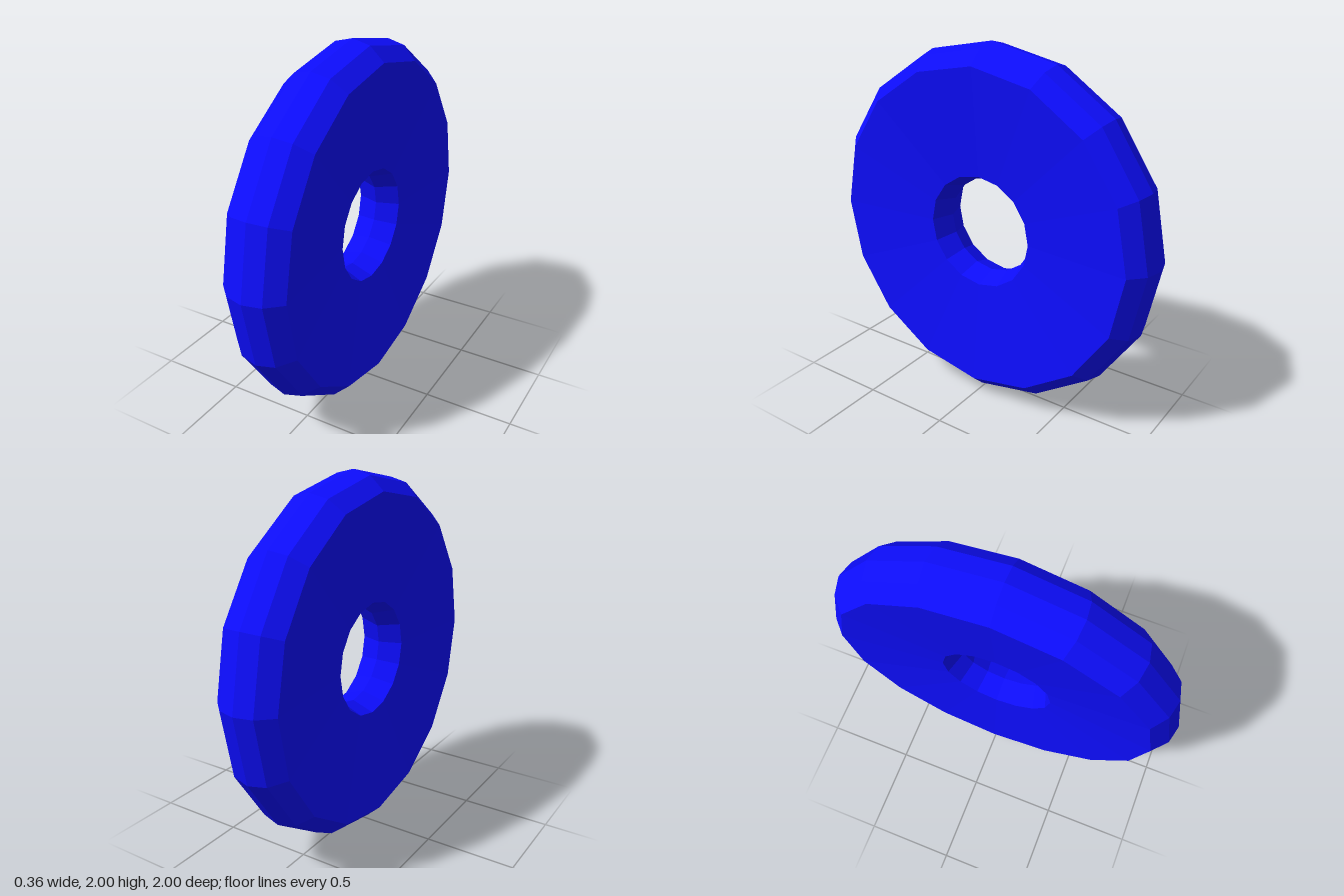
import * as THREE from 'three';

export function createModel() {
  const group = new THREE.Group();
  group.name = 'wheel';

  // Half profile as [radius, axial offset], from the tread centre to the bore centre
  const half = [[1, 0], [0.975, 0.1], [0.9, 0.18], [0.315, 0.125], [0.27, 0]];
  const mirrored = half.slice(0, -1).reverse().map(([r, a]) => [r, -a]);
  const profile = [...half, ...mirrored].map(([r, a]) => new THREE.Vector2(r, a));

  // Faceted ring with slightly dished sides, axle along x
  const ring = new THREE.Mesh(
    new THREE.LatheGeometry(profile, 16).rotateZ(-Math.PI / 2),
    new THREE.MeshStandardMaterial({ color: 0x0d0dff, flatShading: true })
  );
  ring.name = 'wheelRing';
  ring.position.y = 1;
  group.add(ring);

  return group;
}
